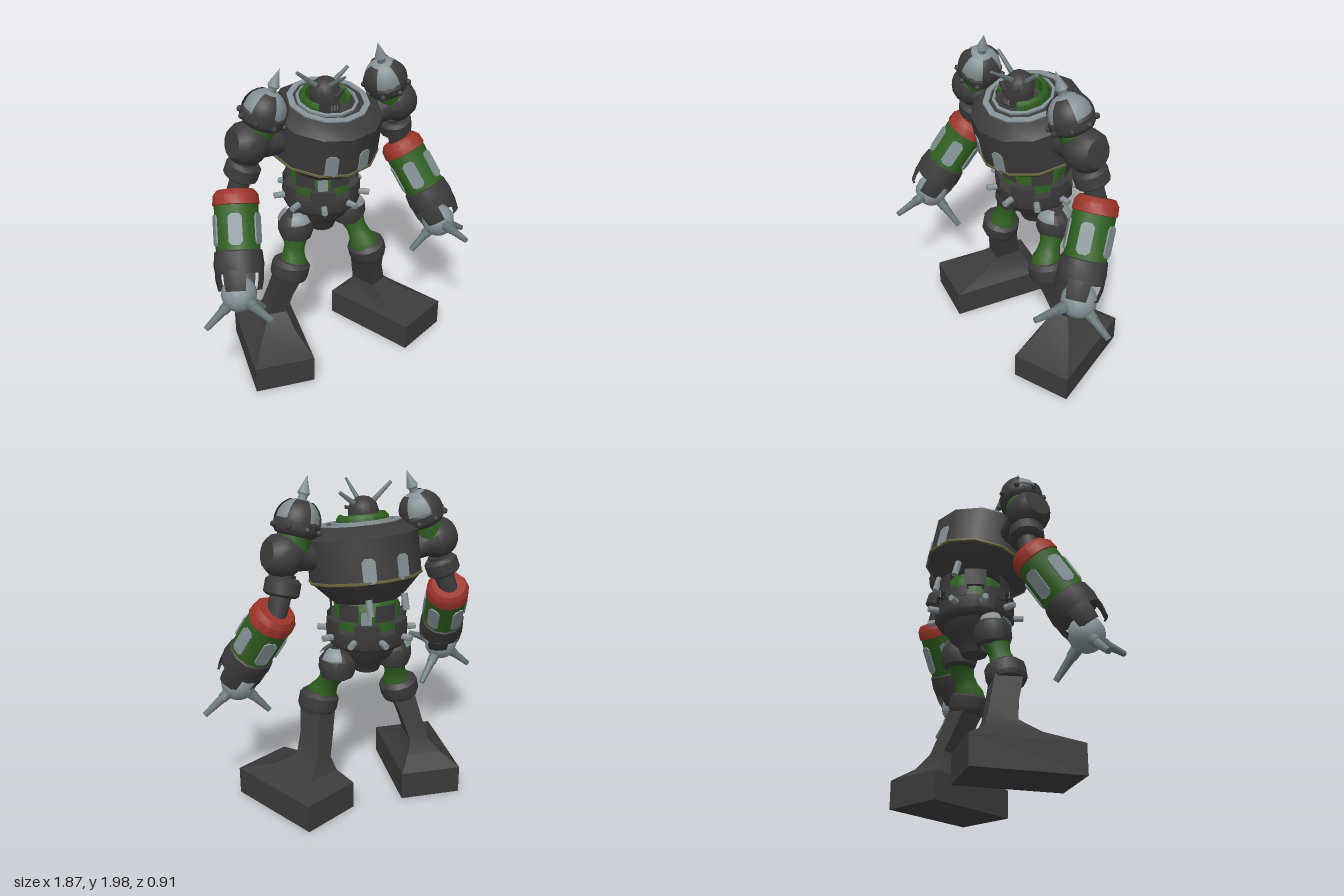
import * as THREE from 'three';
import { toCreasedNormals } from 'three/addons/utils/BufferGeometryUtils.js';

const mat = (name, color) => Object.assign(new THREE.MeshStandardMaterial({ color }), { name, side: THREE.DoubleSide });
const UP = new THREE.Vector3(0, 1, 0);
const V = (p) => new THREE.Vector3(...p);

export function createModel() {
  const iron = mat('dark iron', 0x3b3b3b);
  const green = mat('green paint', 0x2f5f20);
  const grey = mat('pale steel', 0x849196);
  const steel = mat('spike steel', 0x687779);
  const red = mat('red paint', 0x9c3429);
  const brass = mat('dull brass', 0x66633a);

  const group = (name, parent, pos = [0, 0, 0]) => {
    const g = new THREE.Group();
    g.name = name;
    g.position.set(...pos);
    parent.add(g);
    return g;
  };
  const mesh = (name, parent, geo, material, pos = [0, 0, 0]) => {
    const m = new THREE.Mesh(geo, material);
    m.name = name;
    m.position.set(...pos);
    parent.add(m);
    return m;
  };
  // Turned part from [radius, height] pairs, listed bottom to top
  const turned = (name, parent, profile, material, segs = 12, pos = [0, 0, 0], start = 0, sweep = 2 * Math.PI) => mesh(name, parent,
    toCreasedNormals(new THREE.LatheGeometry(profile.map(([r, y]) => new THREE.Vector2(r, y)), segs, start, sweep), 0.66), material, pos);
  // Group whose local y axis runs from a towards b
  const axis = (name, parent, a, b) => {
    const g = group(name, parent, a);
    g.quaternion.setFromUnitVectors(UP, V(b).sub(V(a)).normalize());
    return g;
  };
  const rod = (name, parent, a, b, r0, r1, material, segs = 10) => {
    const h = V(a).distanceTo(V(b));
    return turned(name, axis(name, parent, a, b), [[0, 0], [r0, 0], [r1, h], [0, h]], material, segs);
  };
  // Places something around the local y axis, facing outward along z
  const around = (parent, angles, fn) => angles.forEach((a) => {
    const g = group('radialMount', parent);
    g.rotation.y = a;
    fn(g);
  });
  const even = (n, offset = 0) => Array.from({ length: n }, (_, i) => offset + (i * 2 * Math.PI) / n);
  // Thin plate with clipped corners
  const plate = (w, h, cut) => {
    const x = w / 2, y = h / 2;
    const s = new THREE.Shape([[-x, -y + cut], [-x + cut, -y], [x - cut, -y], [x, -y + cut],
      [x, y - cut], [x - cut, y], [-x + cut, y], [-x, y - cut]].map((p) => new THREE.Vector2(...p)));
    return new THREE.ExtrudeGeometry(s, { depth: 0.009, bevelEnabled: false });
  };
  // Curved patch of a ball, centred on z
  const shell = (r, width, t0, t) => new THREE.SphereGeometry(r, 8, 6, Math.PI / 2 - width / 2, width, t0, t);

  const model = new THREE.Group();
  model.name = 'robot';

  // Barrel torso, leaning forward
  const torso = group('torso', model, [0, 1.52, -0.095]);
  torso.rotation.set(0.2, -0.1, 0);
  turned('barrel', torso, [[0, -0.25], [0.19, -0.25], [0.225, -0.22], [0.322, -0.12], [0.322, 0.12], [0.235, 0.185],
    [0.155, 0.185], [0.11, 0.14], [0, 0.14]], iron, 12);
  turned('brassSeam', torso, [[0.318, -0.128], [0.328, -0.124], [0.328, -0.112], [0.318, -0.108]], brass, 12);
  turned('neckRing', torso, [[0.237, 0.178], [0.237, 0.192], [0.203, 0.194], [0.203, 0.18]], grey, 12);
  turned('innerRing', torso, [[0.178, 0.18], [0.178, 0.197], [0.163, 0.2], [0.163, 0.18]], grey, 12, [-0.01, 0, 0]);
  turned('collar', torso, [[0.15, 0.17], [0.15, 0.215], [0.135, 0.235], [0.118, 0.225], [0.11, 0.15]], green, 10,
    [-0.02, 0, 0], 0.75, 2 * Math.PI - 1.5);
  around(torso, [-0.33, 0.33, Math.PI - 0.33, Math.PI + 0.33], (g) =>
    mesh('torsoPanel', g, plate(0.075, 0.14, 0.018), grey, [0, -0.055, 0.308]));
  for (const x of [-0.13, 0.1])
    rod('exhaustPipe', model, [x, 1.34, -0.33], [x, 1.25, -0.355], 0.02, 0.02, grey);

  // Domed head with face grille and three antennae
  const head = group('head', model, [-0.03, 1.76, -0.045]);
  turned('helmet', head, [[0.07, -0.1], [0.085, -0.04], [0.087, 0.01], [0.073, 0.05], [0.04, 0.078], [0, 0.086]], iron, 12);
  mesh('jaw', head, new THREE.BoxGeometry(0.075, 0.08, 0.05), iron, [0, -0.055, 0.07]);
  for (const s of [-1, 1]) {
    const brow = mesh('brow', head, new THREE.BoxGeometry(0.07, 0.02, 0.05), iron, [s * 0.035, 0.005, 0.07]);
    brow.rotation.set(0, s * 0.35, s * 0.3);
  }
  for (let i = -1; i < 2; i++)
    mesh('grilleBar', head, new THREE.BoxGeometry(0.006, 0.03, 0.006), steel, [i * 0.018, -0.065, 0.096]);
  rod('antenna', head, [0, 0.05, 0.05], [0, 0.15, 0.2], 0.016, 0.007, steel);
  rod('antenna', head, [-0.06, 0.05, 0], [-0.18, 0.148, 0], 0.016, 0.01, steel);
  rod('antenna', head, [0.06, 0.05, 0], [0.148, 0.12, 0.005], 0.016, 0.01, steel);

  // Waist: green drum between an upright toothed belt and blocks hanging from the torso
  const waist = group('waist', model, [0, 0, -0.14]);
  turned('waistDrum', waist, [[0.19, 1.08], [0.19, 1.25], [0.15, 1.32]], green, 12);
  turned('belt', waist, [[0.16, 1.01], [0.215, 1.02], [0.235, 1.045], [0.235, 1.125], [0.18, 1.13]], iron, 12);
  around(waist, even(6, Math.PI / 6), (g) => {
    turned('beltTooth', g, [[0.18, 1.12], [0.235, 1.12], [0.235, 1.185], [0.18, 1.185]], iron, 3, [0, 0, 0], -0.32, 0.64);
  });
  around(waist, even(6), (g) =>
    turned('hangingBlock', g, [[0.18, 1.2], [0.21, 1.2], [0.215, 1.3]], iron, 3, [0, 0, 0], -0.3, 0.6));
  around(waist, [-0.52, 2.6], (g) =>
    mesh('waistPlate', g, plate(0.06, 0.08, 0.01), grey, [0, 1.22, 0.2]));
  around(waist, even(9, 0.2), (g) =>
    rod('beltPin', g, [0, 1.085, 0.2], [0, 1.085, 0.29], 0.02, 0.018, grey));
  turned('pelvis', waist, [[0, 0.835], [0.075, 0.84], [0.1, 0.9], [0.155, 0.95], [0.185, 1.02], [0, 1.03]], iron, 12);

  // Flared boot lofted through four-cornered sections
  const boot = (s, dx, dz) => {
    const yaw = s * 0.285, pos = [], idx = [];
    const rings = [ // y, centre x, centre z, half width, half length
      [0.01, 0.43 + dx, -0.035, 0.183, 0.31], [0.18, 0.43 + dx, -0.035, 0.183, 0.31],
      [0.25, 0.385 + dx * 0.6, -0.08, 0.105, 0.16], [0.33, 0.345 + dx * 0.3, -0.11, 0.058, 0.085],
      [0.46, 0.305, -0.075, 0.06, 0.078], [0.63, 0.265, -0.02, 0.07, 0.08]];
    for (const [y, cx, cz, w, l] of rings)
      for (const [i, j] of [[-1, 1], [1, 1], [1, -1], [-1, -1]]) {
        const x = i * w, z = j * l;
        pos.push(s * cx + x * Math.cos(yaw) + z * Math.sin(yaw), y, cz + dz - x * Math.sin(yaw) + z * Math.cos(yaw));
      }
    for (let r = 0; r < rings.length - 1; r++)
      for (let k = 0; k < 4; k++) {
        const a = r * 4 + k, b = r * 4 + ((k + 1) % 4);
        idx.push(a, b, a + 4, b, b + 4, a + 4);
      }
    idx.push(0, 2, 1, 0, 3, 2);
    const g = new THREE.BufferGeometry();
    g.setAttribute('position', new THREE.Float32BufferAttribute(pos, 3));
    g.setIndex(idx);
    return toCreasedNormals(g, 0.5);
  };

  const leg = (s, dx, dz) => {
    const g = group(s > 0 ? 'leftLeg' : 'rightLeg', model);
    const hip = [s * 0.19, 0.915, -0.13];
    turned('hipJoint', g, [[0.07, -0.095], [0.095, -0.08], [0.11, -0.03], [0.105, 0.03], [0.07, 0.075], [0, 0.085]], iron, 12, hip);
    around(group('hipPlates', g, hip), [s * 0.2, s * 2.3], (m) =>
      mesh('hipPlate', m, shell(0.116, 1.2, 0.5, 0.7), grey));
    const thigh = axis('thigh', g, [s * 0.2, 0.87, -0.12], [s * 0.245, 0.66, -0.015 + dz]);
    turned('thighSpool', thigh, [[0.085, 0], [0.075, 0.04], [0.062, 0.1], [0.07, 0.15], [0.09, 0.2], [0.09, 0.25]], green, 12);
    const knee = axis('knee', g, [s * 0.275, 0.585, -0.02 + dz], [s * 0.245, 0.71, -0.02 + dz]);
    turned('kneeRing', knee, [[0.06, 0], [0.105, 0], [0.117, 0.025], [0.117, 0.095], [0.09, 0.12], [0, 0.12]], iron, 12);
    mesh('boot', g, boot(s, dx, dz), iron);
  };
  leg(1, 0.004, 0);
  leg(-1, -0.036, -0.07);

  const arm = (s, off, tips) => {
    const g = group(s > 0 ? 'leftArm' : 'rightArm', model, off);
    const P = (x, y, z) => [s * x, y, z];

    // Shoulder barrel and elbow
    const shoulder = axis('shoulder', g, P(0.28, 1.535, -0.06), P(0.58, 1.605, -0.06));
    turned('shoulderBarrel', shoulder, [[0, 0], [0.065, 0], [0.075, 0.05], [0.085, 0.12], [0.118, 0.16], [0.126, 0.21],
      [0.112, 0.27], [0.082, 0.305], [0, 0.31]], iron, 12);
    const elbow = axis('elbow', g, P(0.522, 1.365, -0.1), P(0.485, 1.48, -0.08));
    turned('elbowRing', elbow, [[0, 0], [0.08, 0], [0.1, 0.015], [0.1, 0.085], [0.08, 0.105], [0, 0.105]], iron, 12);
    rod('elbowShaft', g, P(0.48, 1.48, -0.08), P(0.56, 1.24, -0.105), 0.06, 0.058, iron, 12);

    // Spiked dome above the shoulder
    const dome = axis('shoulderDome', g, P(0.415, 1.65, -0.055), P(0.295, 1.99, -0.005));
    turned('domeNeck', dome, [[0.09, -0.06], [0.095, 0.04]], green, 12);
    turned('domeBase', dome, [[0.08, 0.02], [0.11, 0.035], [0.128, 0.06], [0.13, 0.1], [0.115, 0.12], [0, 0.13]], iron, 12);
    mesh('domeCap', dome, new THREE.SphereGeometry(0.12, 14, 10), grey, [0, 0.115, 0]);
    around(dome, even(3, s * 0.61), (m) => mesh('domePlate', m, shell(0.13, 1, 0.5, 1.2), iron, [0, 0.11, 0]));
    around(dome, even(8), (m) => mesh('stud', m, new THREE.SphereGeometry(0.018, 6, 5), iron, [0, 0.07, 0.132]));
    turned('domeSpike', dome, [[0.025, 0.21], [0.025, 0.25], [0.035, 0.265], [0.015, 0.32], [0, 0.365]], grey, 10);

    // Forearm drum with painted panels and clawed cuff
    const fore = axis('forearm', g, P(0.55, 1.29, -0.108), P(0.69, 0.84, 0.16));
    turned('redBand', fore, [[0, 0], [0.105, 0], [0.128, 0.03], [0.133, 0.085], [0.12, 0.09]], red, 12);
    turned('greenDrum', fore, [[0.125, 0.085], [0.125, 0.36]], green, 12);
    around(fore, even(5, s * -1.466), (m) =>
      mesh('forearmPanel', m, plate(0.078, 0.175, 0.018), grey, [0, 0.225, 0.121]));
    turned('cuff', fore, [[0.12, 0.335], [0.134, 0.345], [0.142, 0.42], [0.135, 0.47], [0, 0.47]], iron, 12);
    around(fore, even(4, s * -1.3), (m) =>
      turned('cuffClaw', m, [[0.11, 0.45], [0.137, 0.45], [0.136, 0.5], [0.122, 0.565], [0.108, 0.56]], iron, 4, [0, 0, 0], -0.48, 0.96));

    // Ball hand with three talons
    const hand = P(0.695, 0.785, 0.15);
    mesh('handBall', g, new THREE.SphereGeometry(0.103, 14, 10), grey, hand);
    const talons = group('talons', g);
    for (const tip of tips) {
      const end = tip.map((v, i) => v - off[i]);
      const base = V(hand).lerp(V(end), 0.25).toArray();
      const mid = V(hand).lerp(V(end), 0.5).toArray();
      rod('talonRoot', talons, base, mid, 0.036, 0.03, steel);
      rod('talon', talons, mid, end, 0.026, 0.017, steel);
    }
  };
  arm(1, [0, 0, 0], [[0.92, 0.64, 0.13], [0.53, 0.59, 0.1], [0.665, 0.8, 0.45]]);
  arm(-1, [-0.025, -0.03, -0.03], [[-0.925, 0.575, 0.09], [-0.53, 0.54, 0.05], [-0.675, 0.73, 0.415]]);

  return model;
}
